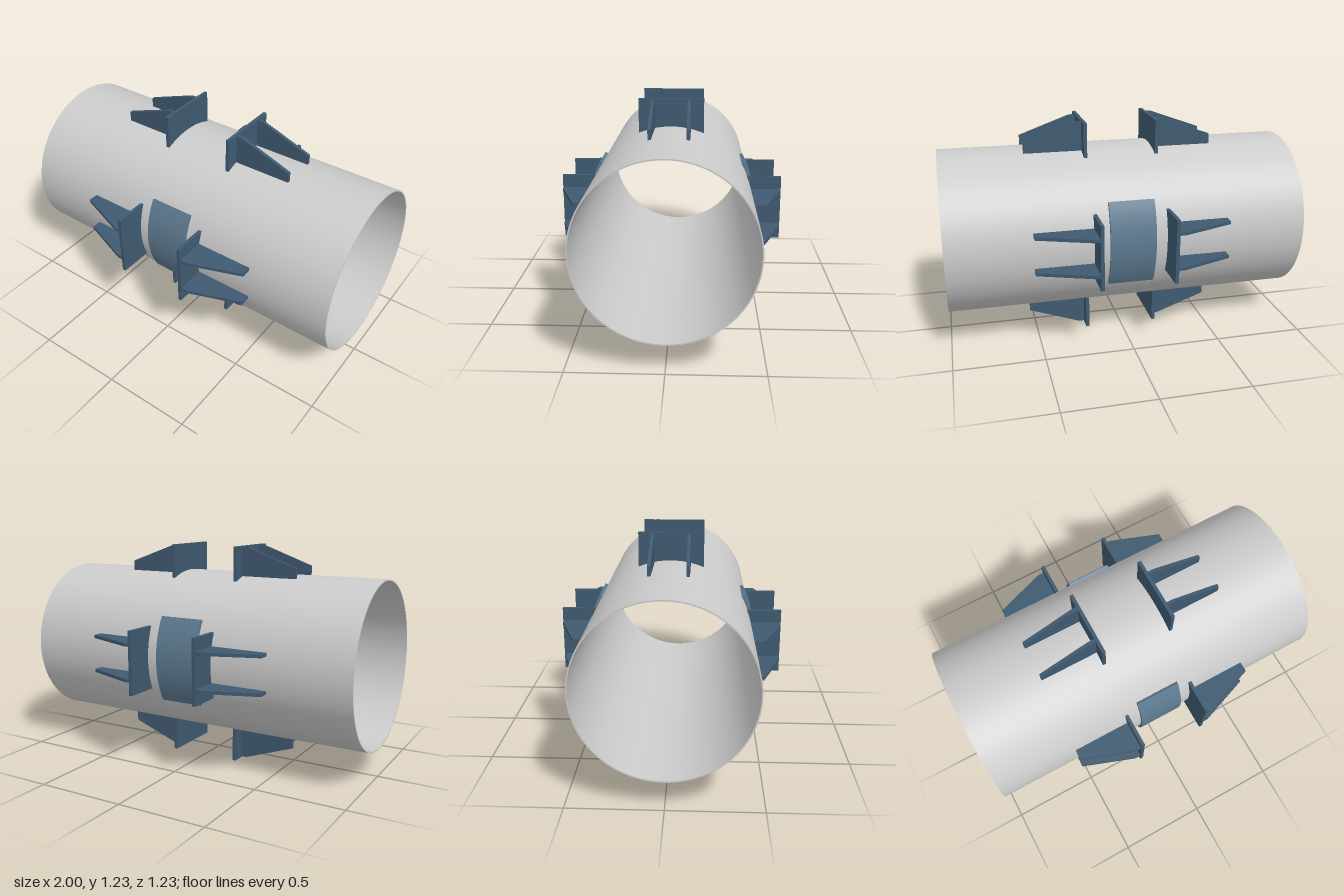
import * as THREE from 'three';
import { toCreasedNormals } from 'three/addons/utils/BufferGeometryUtils.js';

const R = 0.461, R_IN = 0.454, AXIS_Y = 0.616;

const pipeMat = new THREE.MeshStandardMaterial({ color: 0xcccccc });
const steelMat = new THREE.MeshStandardMaterial({ color: 0x3f5a70 });
const padMat = new THREE.MeshStandardMaterial({ color: 0x5d7a90 });

// Cross-section around the pipe axis, extruded along x from x0
function alongX(shape, x0, length, curveSegments) {
  const g = new THREE.ExtrudeGeometry(shape, { depth: length, bevelEnabled: false, curveSegments });
  g.rotateY(Math.PI / 2).translate(x0, 0, 0);
  return toCreasedNormals(g, 0.5);
}

function part(name, geometry, material) {
  const mesh = new THREE.Mesh(geometry, material);
  mesh.name = name;
  return mesh;
}

// Open pipe with a thin wall
function makePipe() {
  const ring = new THREE.Shape().absarc(0, 0, R, 0, Math.PI * 2);
  ring.holes.push(new THREE.Path().absarc(0, 0, R_IN, 0, Math.PI * 2, true));
  return part('pipe', alongX(ring, -1, 2, 96), pipeMat);
}

// Curved wear pad, centred on the radial +y direction
function padGeometry() {
  const a = Math.PI / 6, mid = Math.PI / 2, outer = R + 0.017;
  const s = new THREE.Shape();
  s.absarc(0, 0, outer, mid - a, mid + a, false);
  s.absarc(0, 0, R - 0.001, mid + a, mid - a, true);
  return alongX(s, -0.127, 0.254, 24);
}

// Stop plate with its inner edge cut to the pipe
function plateGeometry() {
  const half = 0.18, top = 0.616, a = Math.asin(half / R), mid = Math.PI / 2;
  const s = new THREE.Shape();
  s.moveTo(half, top);
  s.lineTo(-half, top);
  s.absarc(0, 0, R, mid + a, mid - a, true);
  s.closePath();
  return alongX(s, 0.193, 0.019, 24);
}

// Tapered gusset behind the stop plate
function gussetGeometry() {
  const t = 0.018;
  const s = new THREE.Shape([[0.21, 0.449], [0.536, 0.449], [0.536, 0.506], [0.245, 0.611], [0.21, 0.611]]
    .map(([x, y]) => new THREE.Vector2(x, y)));
  return new THREE.ExtrudeGeometry(s, { depth: t, bevelEnabled: false }).translate(0, 0, -t / 2);
}

export function createModel() {
  const model = new THREE.Group();
  model.name = 'pipeSupport';
  const assembly = new THREE.Group();
  assembly.name = 'pipeAssembly';
  assembly.position.y = AXIS_Y;
  model.add(assembly);
  assembly.add(makePipe());

  const plate = plateGeometry(), gusset = gussetGeometry(), pad = padGeometry();

  // Four stations around the pipe, each with a facing pair of brackets
  ['top', 'front', 'bottom', 'back'].forEach((place, i) => {
    const station = new THREE.Group();
    station.name = place + 'Station';
    station.rotation.x = i * Math.PI / 2;
    for (const side of [0, 1]) {
      const bracket = new THREE.Group();
      bracket.name = side ? 'rightBracket' : 'leftBracket';
      bracket.rotation.y = side * Math.PI;
      bracket.add(part('stopPlate', plate, steelMat));
      for (const z of [-0.1, 0.1]) {
        const g = part('gusset', gusset, steelMat);
        g.position.z = z;
        bracket.add(g);
      }
      station.add(bracket);
    }
    // Pads only at the front and back
    if (i % 2) station.add(part('wearPad', pad, padMat));
    assembly.add(station);
  });
  return model;
}
